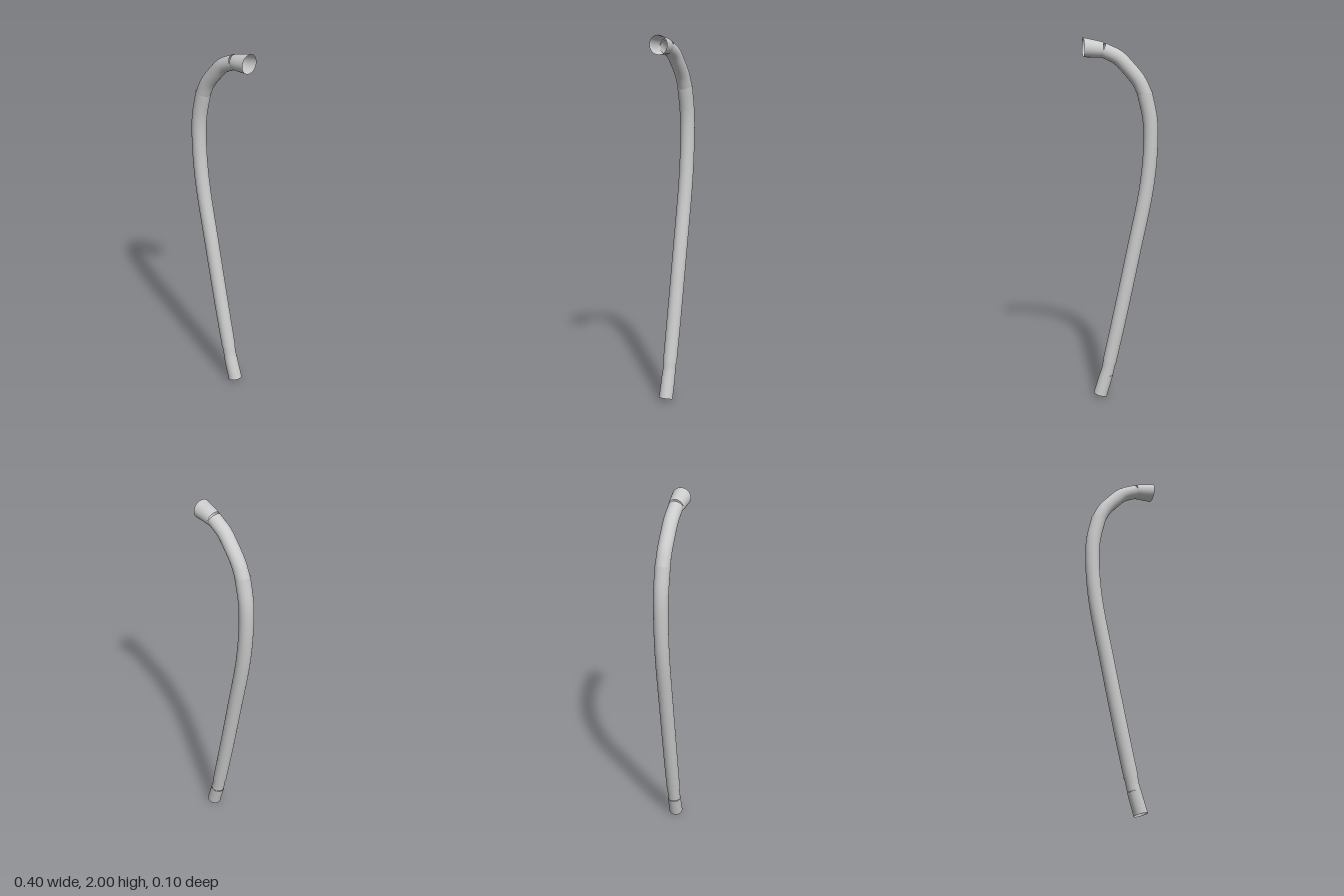
import * as THREE from 'three';

const SIDES = 40;
const material = new THREE.MeshStandardMaterial({ color: 0xcccccc, side: THREE.DoubleSide });

// Sweeps a circle of changing radius along a curve in the xy plane; both ends stay open.
// points: [x, y, radius]; endDir optionally sets the facing of the last ring.
function pipe(name, points, steps, endDir) {
  const curve = new THREE.CatmullRomCurve3(points.map(([x, y]) => new THREE.Vector3(x, y, 0)), false, 'centripetal');
  const pos = [], index = [];
  for (let i = 0; i <= steps; i++) {
    const t = i / steps;
    const c = curve.getPoint(t);
    const d = curve.getTangent(t);
    if (endDir) d.lerp(endDir, t).normalize();
    const s = t * (points.length - 1);
    const k = Math.min(Math.floor(s), points.length - 2);
    const r = THREE.MathUtils.lerp(points[k][2], points[k + 1][2], s - k);
    for (let j = 0; j < SIDES; j++) {
      const a = (j / SIDES) * Math.PI * 2;
      pos.push(c.x - d.y * r * Math.cos(a), c.y + d.x * r * Math.cos(a), r * Math.sin(a));
      if (i < steps) {
        const n = (j + 1) % SIDES;
        const p = i * SIDES + j, q = i * SIDES + n;
        index.push(p, p + SIDES, q, q, p + SIDES, q + SIDES);
      }
    }
  }
  const g = new THREE.BufferGeometry();
  g.setAttribute('position', new THREE.Float32BufferAttribute(pos, 3));
  g.setIndex(index);
  g.computeVertexNormals();
  const mesh = new THREE.Mesh(g, material);
  mesh.name = name;
  return mesh;
}

export function createModel() {
  const model = new THREE.Group();
  model.name = 'curvedPipe';

  // Socket at the foot and the narrower neck above it
  model.add(pipe('footCollar', [[0.118, 0.011, 0.038], [0.082, 0.13, 0.037]], 2));
  model.add(pipe('neck', [[0.082, 0.13, 0.036], [0.073, 0.166, 0.035], [0.064, 0.21, 0.036]], 6));

  // Long, gently curved body
  model.add(pipe('body', [
    [0.065, 0.204, 0.038], [0.013, 0.44, 0.039], [-0.066, 0.82, 0.039], [-0.14, 1.195, 0.039],
    [-0.16, 1.42, 0.039], [-0.156, 1.56, 0.04], [-0.126, 1.705, 0.0405],
  ], 72));

  // Tight bend at the top
  model.add(pipe('topBend', [
    [-0.129, 1.695, 0.039], [-0.094, 1.768, 0.039], [-0.035, 1.841, 0.039],
    [0.018, 1.894, 0.039], [0.1, 1.935, 0.039],
  ], 32));

  // Flared mouth with an upright rim
  model.add(pipe('flaredMouth', [[0.1, 1.935, 0.039], [0.2, 1.949, 0.051]], 6, new THREE.Vector3(1, 0, 0)));

  return model;
}
